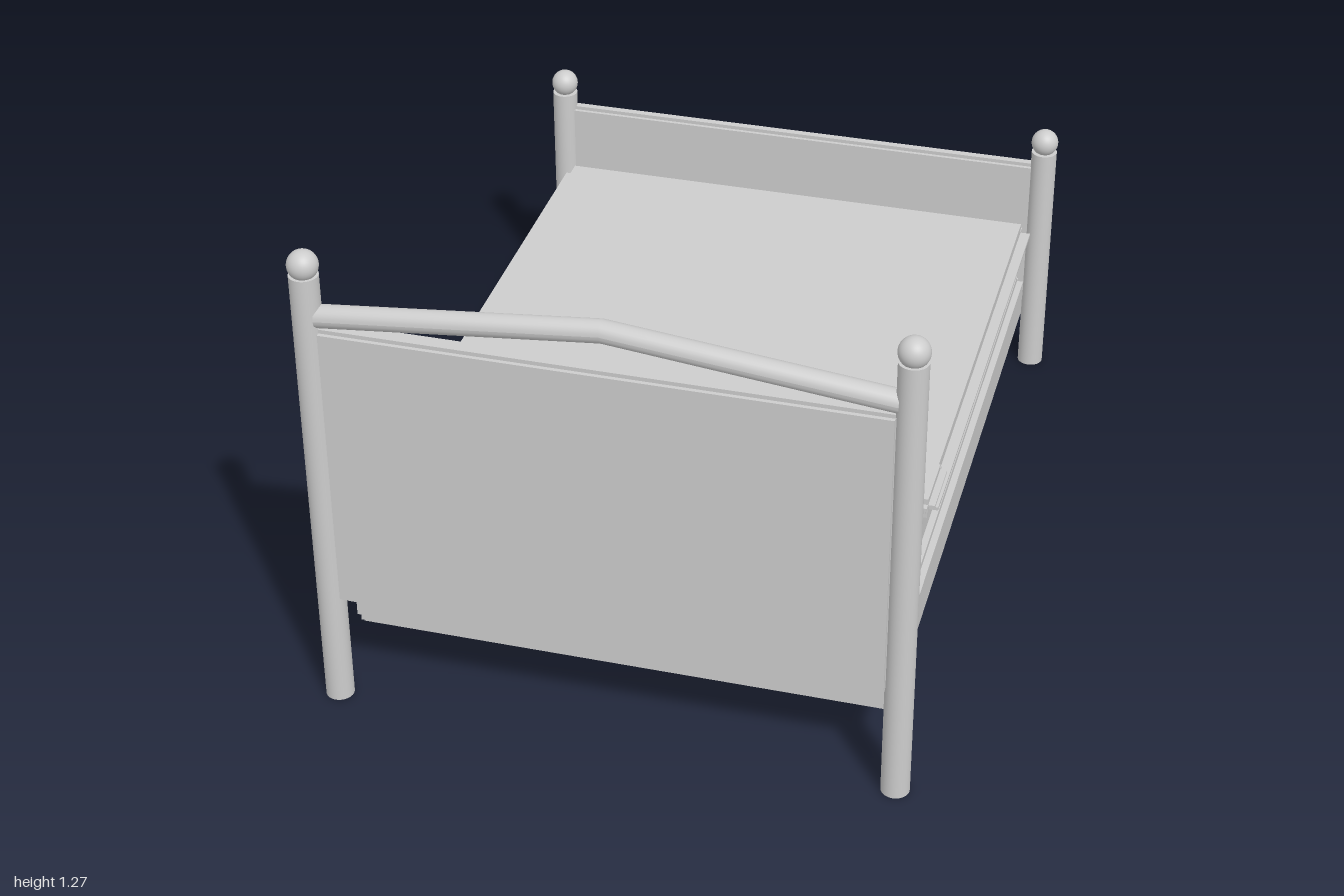
import * as THREE from 'three';

const paint = new THREE.MeshStandardMaterial({ color: 0xcccccc });
paint.name = 'light grey';

export function createModel() {
  const bed = new THREE.Group();
  bed.name = 'bed';

  function add(name, geometry, x, y, z, parent = bed) {
    const mesh = new THREE.Mesh(geometry, paint);
    mesh.name = name;
    mesh.position.set(x, y, z);
    parent.add(mesh);
    return mesh;
  }

  // Slab with stepped edges: three crossed boxes, each full size along one axis
  // and inset by r along the other two. Ranges are [min, max].
  function steppedSlab(name, xs, ys, zs, r) {
    const group = new THREE.Group();
    group.name = name;
    const size = [xs, ys, zs].map(([a, b]) => b - a);
    const mid = [xs, ys, zs].map(([a, b]) => (a + b) / 2);
    const core = size.map((s) => Math.max(s - 2 * r, 0.006));
    for (let axis = 0; axis < 3; axis++) {
      const dims = core.map((c, i) => (i === axis ? size[i] : c));
      add(name + 'Layer', new THREE.BoxGeometry(...dims), 0, 0, 0, group);
    }
    group.position.set(...mid);
    bed.add(group);
  }

  // Posts with ball finials; the head end is at +z
  const postX = 0.7, postZ = 0.963;
  for (const side of [-1, 1]) {
    for (const [label, z, height, ballY] of [
      ['head', postZ, 1.21, 1.235],
      ['foot', -postZ, 0.69, 0.719],
    ]) {
      add(label + 'Post', new THREE.CylinderGeometry(0.035, 0.035, height, 32), side * postX, height / 2, z);
      add(label + 'Finial', new THREE.SphereGeometry(0.037, 32, 20), side * postX, ballY, z);
    }
  }

  // Peaked top rail: a straight bar lifted towards its middle
  const halfRail = 0.675;
  const rail = new THREE.CylinderGeometry(0.028, 0.028, halfRail * 2, 24, 2);
  rail.rotateZ(Math.PI / 2);
  const p = rail.attributes.position;
  for (let i = 0; i < p.count; i++) {
    p.setY(i, p.getY(i) + 0.07 * (1 - Math.abs(p.getX(i)) / halfRail));
  }
  rail.computeVertexNormals();
  add('headRail', rail, 0, 1.103, postZ);

  // Boards and frame
  steppedSlab('headboard', [-0.678, 0.678], [0.305, 1.078], [0.935, 0.991], 0.01);
  steppedSlab('footboard', [-0.678, 0.678], [0.21, 0.65], [-0.985, -0.945], 0.01);
  steppedSlab('bedFrame', [-0.672, 0.672], [0.17, 0.306], [-0.928, 0.902], 0.017);

  // Bedding
  steppedSlab('mattress', [-0.647, 0.647], [0.303, 0.477], [-0.903, 0.85], 0.043);
  steppedSlab('quilt', [-0.684, 0.684], [0.419, 0.482], [-0.929, 0.474], 0.027);
  steppedSlab('quiltFold', [-0.684, 0.684], [0.472, 0.51], [0.327, 0.513], 0.017);

  // Paired pillows and raised headboard panels
  for (const side of [-1, 1]) {
    const span = (a, b) => (side > 0 ? [a, b] : [-b, -a]);
    steppedSlab('pillow', span(0.066, 0.602), [0.477, 0.577], [0.545, 0.852], 0.053);
    steppedSlab('headboardPanel', span(0.07, 0.62), [0.485, 0.955], [0.917, 0.957], 0.012);
  }

  return bed;
}
